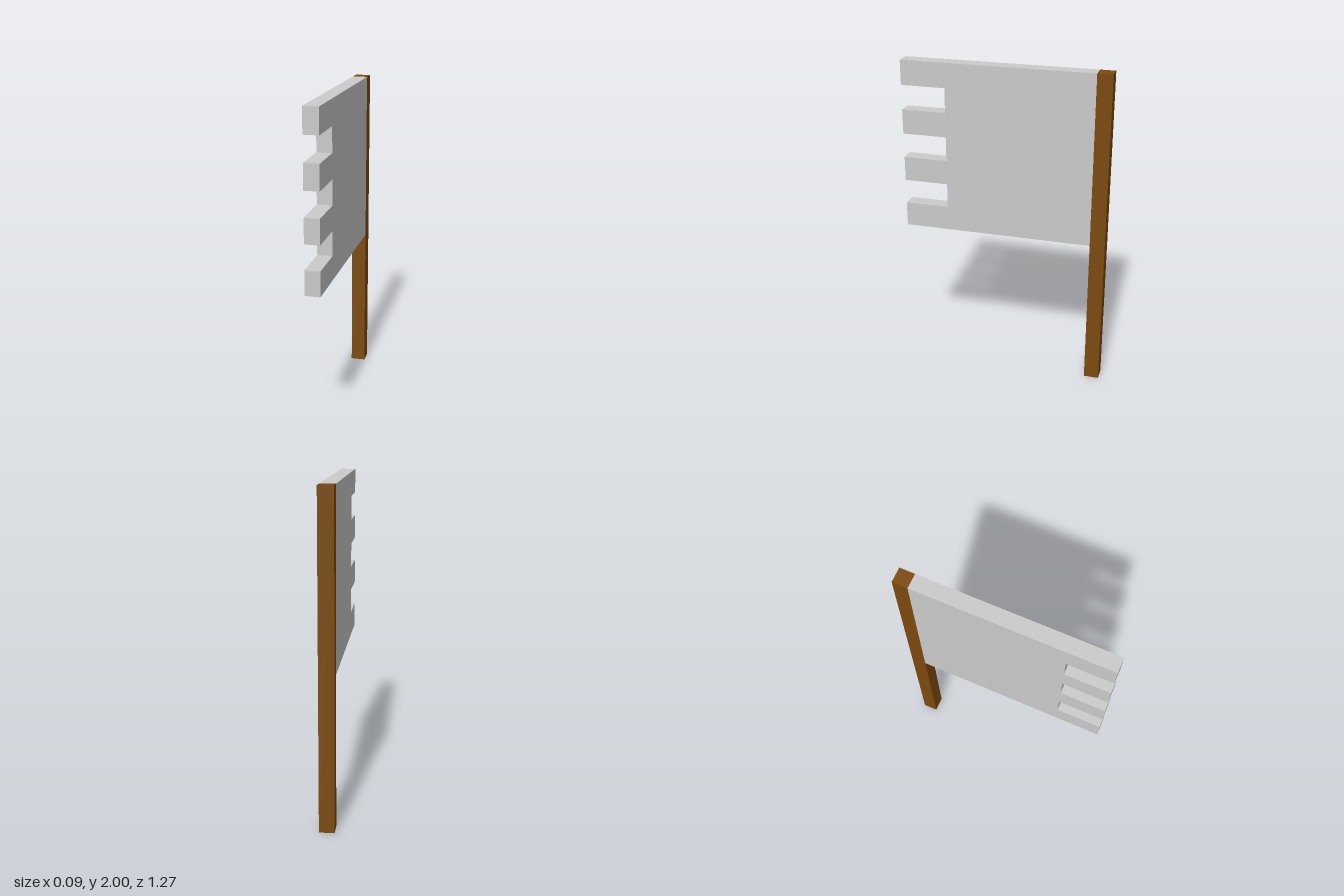
import * as THREE from 'three';

export function createModel() {
  const model = new THREE.Group();
  const wood = new THREE.MeshStandardMaterial({ color: 0x7c4a0e });
  wood.name = 'brown wood';
  const cloth = new THREE.MeshStandardMaterial({ color: 0xcbcbcb });
  cloth.name = 'light grey cloth';

  const thickness = 0.092;
  const back = -0.634, front = 0.634;
  const seam = back + thickness; // where the cloth meets the pole
  const bottom = 0.937, top = 2;

  // Square pole
  const pole = new THREE.Mesh(new THREE.BoxGeometry(thickness, top, thickness), wood);
  pole.name = 'pole';
  pole.position.set(0, top / 2, back + thickness / 2);
  model.add(pole);

  // Banner outline: four square-cut tails separated by three notches
  const notch = 0.361, bands = 7;
  const step = (top - bottom) / bands;
  const outline = new THREE.Shape();
  outline.moveTo(seam, bottom);
  for (let i = 0; i < bands; i++) {
    const edge = i % 2 === 0 ? front : notch;
    outline.lineTo(edge, bottom + i * step);
    outline.lineTo(edge, bottom + (i + 1) * step);
  }
  outline.lineTo(seam, top);
  outline.closePath();

  const bannerGeometry = new THREE.ExtrudeGeometry(outline, { depth: thickness, bevelEnabled: false });
  bannerGeometry.translate(0, 0, -thickness / 2);
  bannerGeometry.rotateY(-Math.PI / 2); // outline runs along z
  const banner = new THREE.Mesh(bannerGeometry, cloth);
  banner.name = 'banner';
  model.add(banner);

  return model;
}
